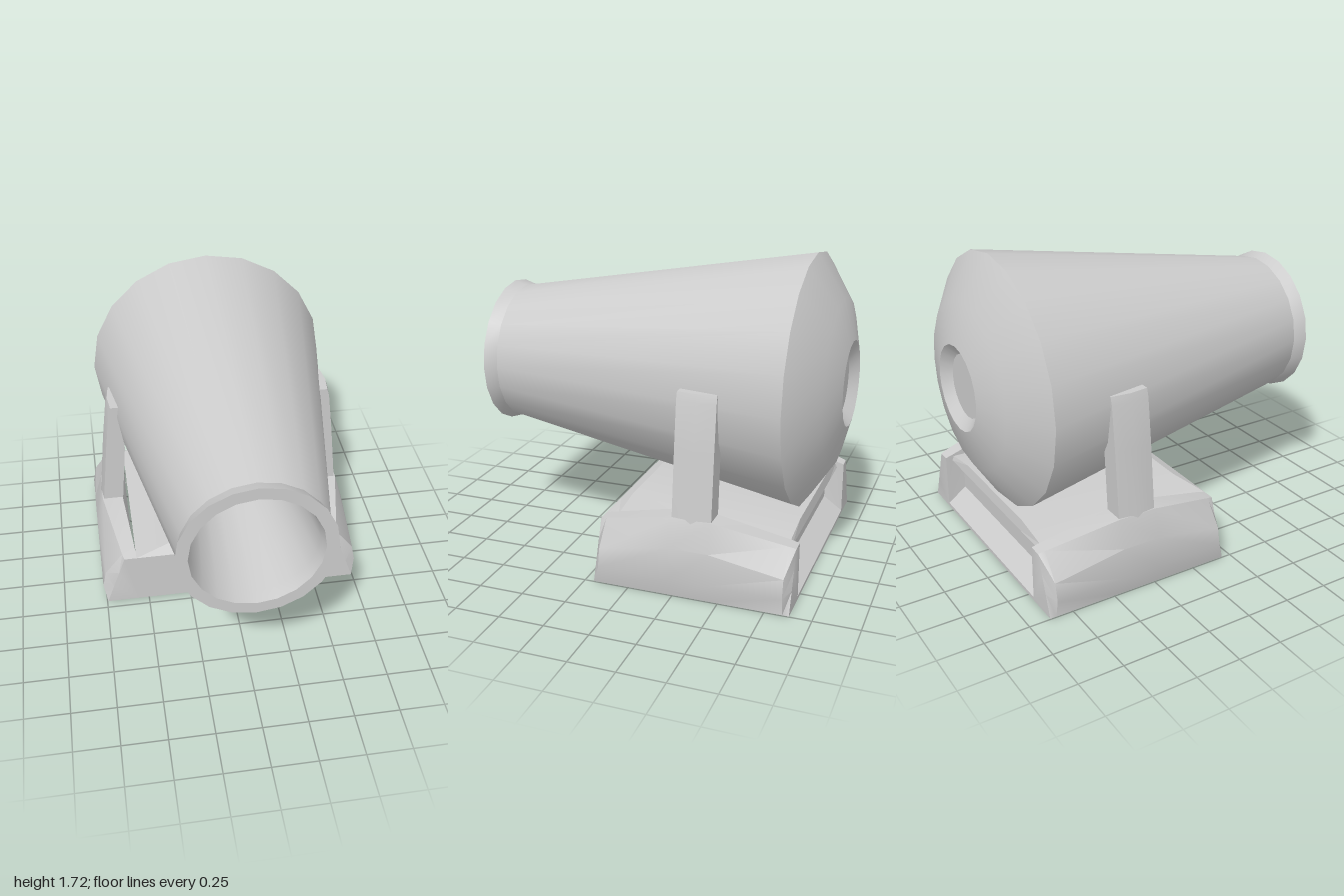
import * as THREE from 'three';
import { toCreasedNormals } from 'three/addons/utils/BufferGeometryUtils.js';

const material = new THREE.MeshStandardMaterial({ color: 0xcccccc });

function part(name, geometry, crease = 0.5) {
  const mesh = new THREE.Mesh(toCreasedNormals(geometry, crease), material);
  mesh.name = name;
  return mesh;
}

// Joins equal-length rings of [x, y, z] into a skin, with optional fan caps, facing outwards
function loft(rings, capped = true) {
  const n = rings[0].length;
  const points = rings.flat().map((p) => new THREE.Vector3(...p));
  const faces = [];
  for (let i = 0; i < rings.length - 1; i++) {
    for (let j = 0; j < n; j++) {
      const a = i * n + j, b = i * n + (j + 1) % n;
      faces.push([a, b, b + n], [a, b + n, a + n]);
    }
  }
  if (capped) {
    const last = (rings.length - 1) * n;
    for (let j = 1; j < n - 1; j++) {
      faces.push([0, j + 1, j], [last, last + j, last + j + 1]);
    }
  }
  const center = points.reduce((s, p) => s.add(p), new THREE.Vector3()).divideScalar(points.length);
  const local = points.map((p) => p.clone().sub(center));
  const volume = faces.reduce((v, [a, b, c]) => v + local[a].dot(local[b].clone().cross(local[c])), 0);
  const geometry = new THREE.BufferGeometry().setFromPoints(points);
  geometry.setIndex(faces.flatMap(([a, b, c]) => (volume < 0 ? [a, c, b] : [a, b, c])));
  return geometry;
}

export function createModel() {
  const model = new THREE.Group();
  model.name = 'tiltingBarrel';

  // Tapered barrel: rear dimple, domed back, long cone, flared rim and hollow bore
  const profile = [
    [0, -0.95], [0.175, -0.95], [0.235, -1], [0.46, -0.94], [0.695, -0.79],
    [0.39, 0.93], [0.412, 1], [0.345, 1], [0.33, 0.93], [0.255, 0.2], [0, 0.2],
  ].map(([r, z]) => new THREE.Vector2(r, z));
  const barrel = new THREE.LatheGeometry(profile, 20);
  barrel.rotateX(Math.PI / 2);
  barrel.translate(0, 1.027, 0);
  model.add(part('barrel', barrel, 0.35));

  // Middle of the base: slightly crowned deck, sloped sill and recess at the back
  const bodyRing = (x, top) => [
    [0.2, 0], [0.2, 0.325], [0.13, top], [-0.83, top], [-0.84, 0.3],
    [-0.77, 0.28], [-0.77, 0.1], [-0.88, 0.02], [-0.88, 0],
  ].map(([z, y]) => [x, y, z]);
  model.add(part('baseBody', loft([
    bodyRing(-0.56, 0.326), bodyRing(-0.35, 0.36), bodyRing(0.35, 0.36), bodyRing(0.56, 0.326),
  ], false), 0.2));

  // Base cheeks: flat ends, bulging flanks, rising to the foot of each arm
  const end = [[0.56, 0], [0.745, 0], [0.703, 0.12], [0.667, 0.22], [0.63, 0.325], [0.56, 0.325]];
  const shoulder = [[0.56, 0], [0.745, 0], [0.765, 0.1], [0.745, 0.2], [0.64, 0.335], [0.56, 0.335]];
  const middle = [[0.56, 0], [0.745, 0], [0.765, 0.1], [0.765, 0.28], [0.72, 0.435], [0.6, 0.435]];
  const stations = [
    [0.2, end], [0.165, shoulder], [-0.235, middle], [-0.45, middle], [-0.845, shoulder], [-0.88, end],
  ];

  // Arms: height, inner x, outer x
  const armLevels = [[0.4, 0.6, 0.715], [0.8, 0.565, 0.675], [1.05, 0.58, 0.645], [1.095, 0.585, 0.632]];

  for (const [side, s] of [['left', 1], ['right', -1]]) {
    const cheek = stations.map(([z, ring]) => ring.map(([x, y]) => [s * x, y, z]));
    model.add(part(side + 'BaseCheek', loft(cheek), 0.55));

    const arm = armLevels.map(([y, inner, outer]) => [
      [inner, -0.235], [outer, -0.235], [outer + 0.012, -0.342], [outer, -0.45], [inner, -0.45],
    ].map(([x, z]) => [s * x, y, z]));
    model.add(part(side + 'Arm', loft(arm), 0.4));
  }
  return model;
}
